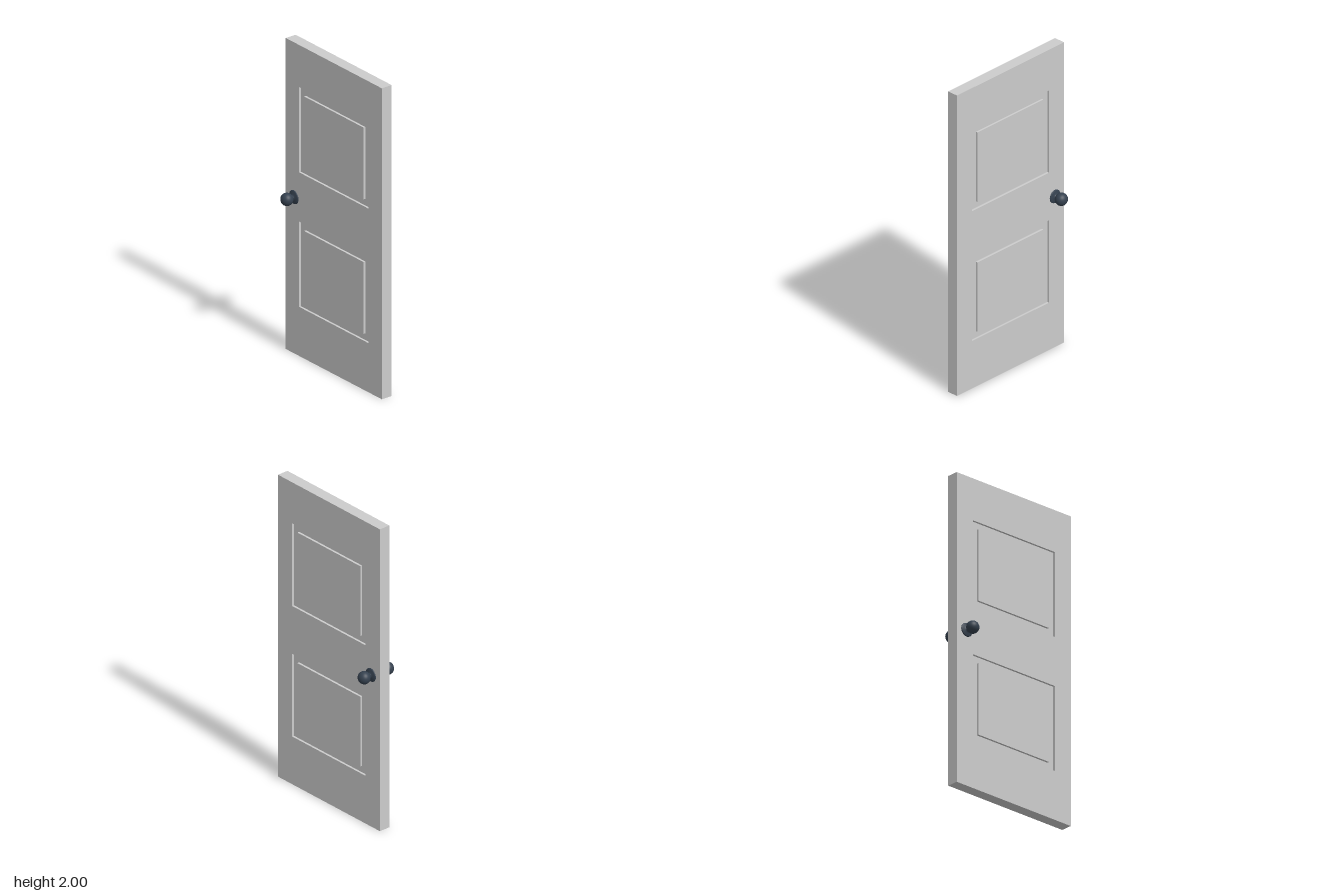
import * as THREE from 'three';

const HALF_T = 0.037;      // half the door thickness
const HALF_W = 0.453;      // half the door width
const GROOVE = 0.014;      // groove depth
const PANEL_Y = [0.59, 1.455];

const doorPaint = new THREE.MeshStandardMaterial({ color: 0xcccccc });
doorPaint.name = 'door paint';
const darkMetal = new THREE.MeshStandardMaterial({ color: 0x35414f });
darkMetal.name = 'dark metal';

function add(parent, name, geometry, material) {
  const mesh = new THREE.Mesh(geometry, material);
  mesh.name = name;
  parent.add(mesh);
  return mesh;
}

// Rectangle outline centred on x = 0
function rect(PathType, halfWidth, y0, y1) {
  const p = new PathType();
  p.moveTo(-halfWidth, y0);
  p.lineTo(halfWidth, y0);
  p.lineTo(halfWidth, y1);
  p.lineTo(-halfWidth, y1);
  p.closePath();
  return p;
}

// Full-thickness frame with an opening for each panel
function frameGeometry() {
  const shape = rect(THREE.Shape, HALF_W, 0, 2);
  for (const y of PANEL_Y) shape.holes.push(rect(THREE.Path, 0.326, y - 0.274, y + 0.274));
  const g = new THREE.ExtrudeGeometry(shape, { depth: HALF_T * 2, bevelEnabled: false });
  g.translate(0, 0, -HALF_T);
  g.rotateY(Math.PI / 2);
  return g;
}

// Rosette, neck and ball turned in one profile, along +y
function knobGeometry() {
  const neck = new THREE.SplineCurve([
    [0.043, 0.001], [0.041, 0.005], [0.032, 0.008], [0.018, 0.012],
    [0.013, 0.018], [0.0135, 0.022], [0.019, 0.0255],
  ].map(([r, h]) => new THREE.Vector2(r, h))).getPoints(18);
  const points = [new THREE.Vector2(0.043, -0.004), ...neck];
  // Ball, slightly flattened along its axis
  for (let i = 0; i <= 16; i++) {
    const a = THREE.MathUtils.lerp(-0.95, Math.PI / 2, i / 16);
    points.push(new THREE.Vector2(Math.max(0, 0.04 * Math.cos(a)), 0.0535 + 0.0375 * Math.sin(a)));
  }
  return new THREE.LatheGeometry(points, 32);
}

export function createModel() {
  const door = new THREE.Group();
  door.name = 'door';

  add(door, 'doorFrame', frameGeometry(), doorPaint);

  for (const y of PANEL_Y) {
    // Groove floor, then the raised field in the middle
    add(door, 'grooveFloor', new THREE.BoxGeometry((HALF_T - GROOVE) * 2, 0.548, 0.652), doorPaint)
      .position.y = y;
    add(door, 'raisedPanel', new THREE.BoxGeometry(HALF_T * 2, 0.462, 0.56), doorPaint)
      .position.y = y;
  }

  // One knob on each face
  const knob = knobGeometry();
  for (const side of [1, -1]) {
    const mesh = add(door, side > 0 ? 'leftKnob' : 'rightKnob', knob, darkMetal);
    mesh.position.set(side * HALF_T, 1.005, -0.375);
    mesh.rotation.z = -side * Math.PI / 2;
  }
  return door;
}
